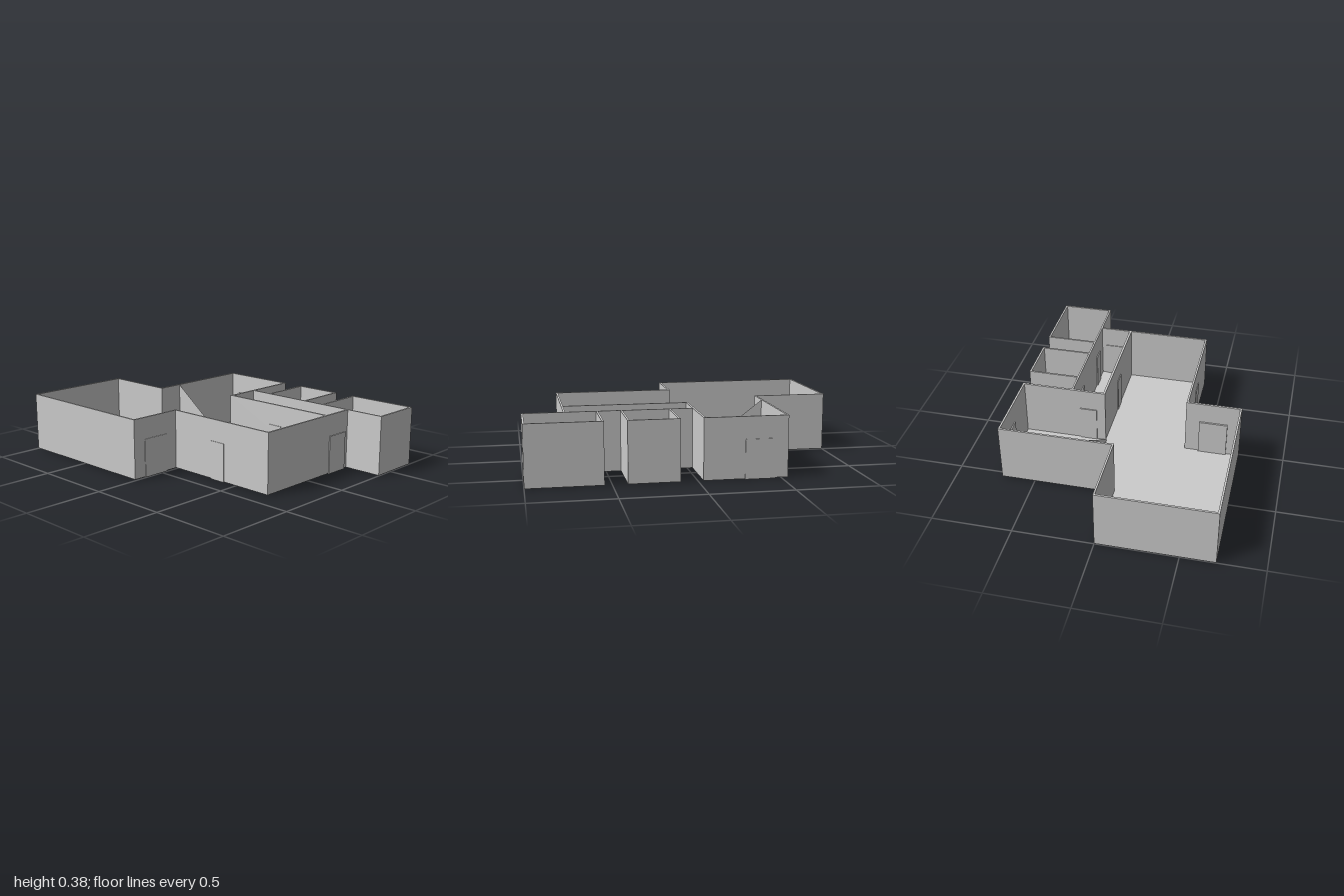
import * as THREE from 'three';

const BASE = 0.003, FLOOR = 0.006, TOP = 0.375, DOOR_H = 0.24;

// Plan outlines as [x, z] points, all running the same way round
const rect = (x0, x1, z0, z1) => [[x0, z0], [x1, z0], [x1, z1], [x0, z1]];

// Each block of walls: an outer outline and the named rooms cut out of it
const blocks = {
  house: {
    outer: [[-0.54, -0.712], [-0.031, -0.712], [-0.031, -0.386], [0.752, -0.386], [0.752, 0.373],
      [-0.009, 0.373], [-0.009, 0.713], [-1, 0.713], [-1, 0], [-0.54, 0]],
    rooms: {
      hall: [[-0.528, -0.7], [-0.045, -0.7], [-0.045, -0.163], [0.74, -0.163], [0.74, 0.361],
        [-0.022, 0.361], [-0.022, 0.701], [-0.988, 0.701], [-0.988, 0.011], [-0.528, 0.011]],
      corridor: rect(-0.031, 0.74, -0.375, -0.177),
    },
  },
  smallRoom: {
    outer: rect(0.104, 0.411, -0.712, -0.375),
    rooms: { smallRoom: rect(0.116, 0.399, -0.7, -0.386) },
  },
  sideRoom: {
    outer: rect(0.545, 1, -0.712, -0.375),
    rooms: { sideRoom: rect(0.557, 0.988, -0.7, -0.386) },
  },
};

// Door slabs, standing slightly proud of both wall faces: [x0, x1, z0, z1]
const doors = {
  backDoor: [-0.46, -0.28, -0.716, -0.693],
  frontDoor: [-0.033, -0.005, 0.45, 0.63],
  hallDoor: [0.30, 0.405, 0.353, 0.377],
  corridorHallDoor: [0.30, 0.395, -0.183, -0.158],
  corridorWestDoor: [-0.052, -0.027, -0.33, -0.22],
  corridorEastDoor: [0.735, 0.758, -0.35, -0.195],
  smallRoomDoor: [0.12, 0.21, -0.393, -0.368],
  sideRoomDoor: [0.56, 0.65, -0.393, -0.368],
};

// Counter-clockwise points for shapes and holes
const toVectors = (points) => points.map(([x, z]) => new THREE.Vector2(x, -z)).reverse();

// Stand a plan shape up as a solid from y0 to y1
function raise(shape, y0, y1) {
  const geo = new THREE.ExtrudeGeometry(shape, { depth: y1 - y0, bevelEnabled: false });
  return geo.rotateX(-Math.PI / 2).translate(0, y0, 0);
}

export function createModel() {
  const model = new THREE.Group();
  const grey = new THREE.MeshStandardMaterial({ color: 0xcccccc });
  const thin = new THREE.MeshStandardMaterial({ color: 0xcccccc, side: THREE.DoubleSide });
  const add = (name, geo, mat = grey) => {
    const mesh = new THREE.Mesh(geo, mat);
    mesh.name = name;
    model.add(mesh);
  };

  // Walls, open at the top, and a thin floor set just above their lower edge
  for (const [blockName, { outer, rooms }] of Object.entries(blocks)) {
    const walls = new THREE.Shape(toVectors(outer));
    for (const [roomName, outline] of Object.entries(rooms)) {
      const points = toVectors(outline);
      walls.holes.push(new THREE.Path(points));
      add(roomName + 'Floor', raise(new THREE.Shape(points), FLOOR, FLOOR + 0.003));
    }
    add(blockName + 'Walls', raise(walls, BASE, TOP));
  }

  // Doors
  for (const [name, [x0, x1, z0, z1]] of Object.entries(doors)) {
    const geo = new THREE.BoxGeometry(x1 - x0, DOOR_H, z1 - z0);
    add(name, geo.translate((x0 + x1) / 2, DOOR_H / 2, (z0 + z1) / 2));
  }

  // Thin sloping partition from the wall top down to the hall floor
  const partition = new THREE.Shape([[-0.53, FLOOR], [-0.04, FLOOR], [-0.53, TOP]]
    .map(([x, y]) => new THREE.Vector2(x, y)));
  add('slopingPartition', new THREE.ShapeGeometry(partition).translate(0, 0, -0.157), thin);

  return model;
}
